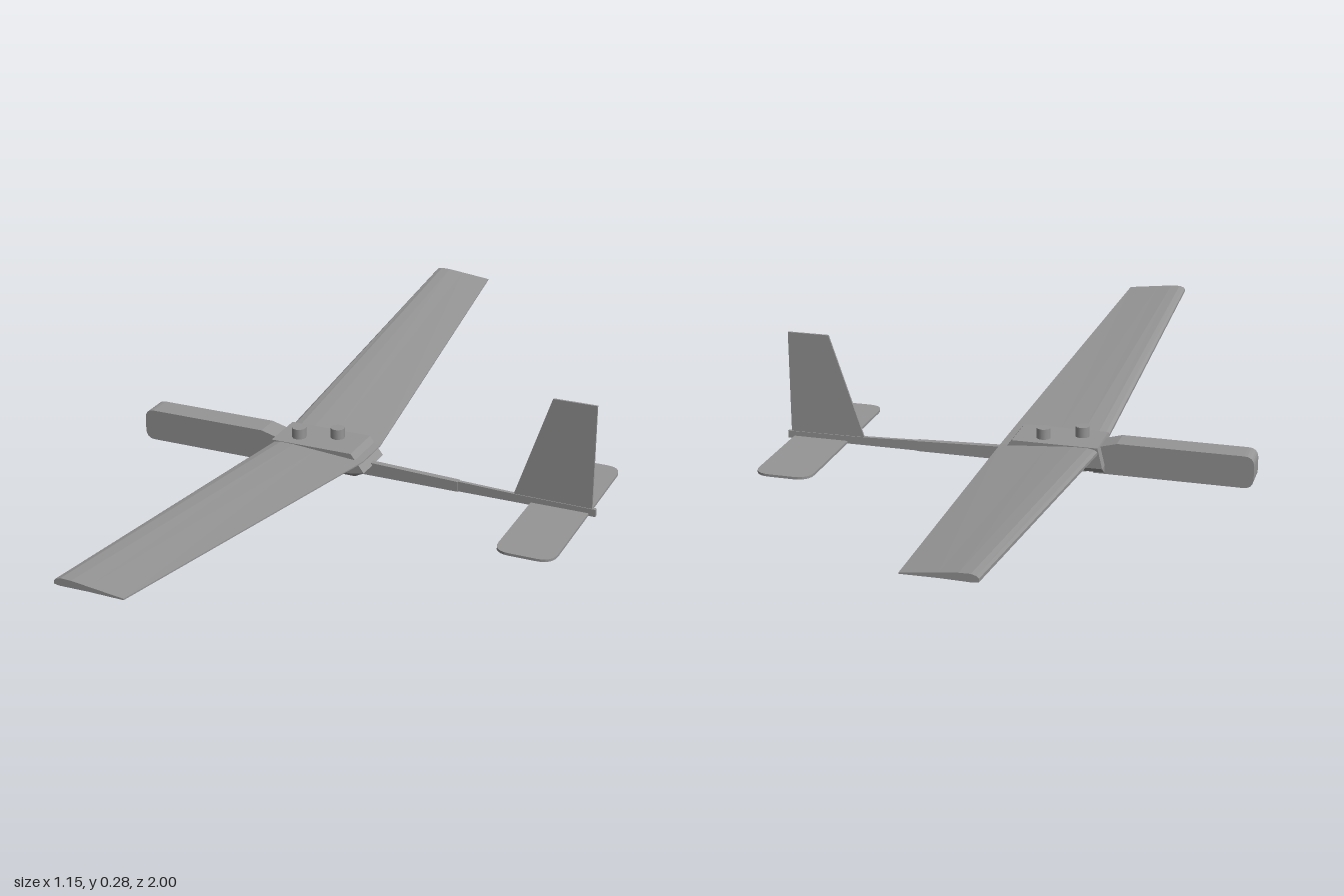
import * as THREE from 'three';
import { ConvexGeometry } from 'three/addons/geometries/ConvexGeometry.js';

const grey = new THREE.MeshStandardMaterial({ color: 0x959595 });
grey.name = 'grey';

// Extrude an x/y shape symmetrically about z = 0
function slab(shape, depth) {
  const g = new THREE.ExtrudeGeometry(shape, { depth, bevelEnabled: false, curveSegments: 6 });
  return g.translate(0, 0, -depth / 2);
}

const outline = (pts) => new THREE.Shape(pts.map(([x, y]) => new THREE.Vector2(x, y)));

// Skin a list of equal sections, each running clockwise seen from +z, and cap the ends
function loft(sections) {
  const n = sections[0].length, last = sections.length - 1, pos = [];
  const tri = (...p) => p.forEach((v) => pos.push(...v));
  for (let s = 0; s < last; s++) {
    for (let j = 0; j < n; j++) {
      const k = (j + 1) % n, a = sections[s], b = sections[s + 1];
      tri(a[j], b[j], b[k]);
      tri(a[j], b[k], a[k]);
    }
  }
  for (let j = 1; j < n - 1; j++) {
    tri(sections[0][0], sections[0][j], sections[0][j + 1]);
    tri(sections[last][0], sections[last][j + 1], sections[last][j]);
  }
  const g = new THREE.BufferGeometry();
  g.setAttribute('position', new THREE.Float32BufferAttribute(pos, 3));
  g.computeVertexNormals();
  return g;
}

// Airfoil section: straight leading edge, tapering trailing edge, dihedral
const airfoil = [[0, 0.002], [0, 0.009], [0.03, 0.014], [0.1, 0.017], [0.25, 0.0165],
  [0.5, 0.012], [1, 0.003], [1, 0], [0.5, 0.001], [0.08, 0]];
function wingSection(z) {
  const t = Math.max(0, (Math.abs(z) - 0.05) / 0.95);
  const chord = 0.235 - 0.08 * t, lift = 0.065 + 0.101 * t;
  return airfoil.map(([f, h]) => [-0.215 + f * chord, lift + h, z]);
}

export function createModel() {
  const model = new THREE.Group();
  model.name = 'glider';
  const add = (name, geometry) => {
    const mesh = new THREE.Mesh(geometry, grey);
    mesh.name = name;
    model.add(mesh);
    return mesh;
  };

  // Nose block with rounded front corners, stepping down under the wing mount
  const nose = new THREE.Shape();
  nose.moveTo(-0.55, 0.013);
  nose.lineTo(-0.2, 0.013);
  nose.lineTo(-0.2, 0.075);
  nose.lineTo(-0.255, 0.09);
  nose.lineTo(-0.55, 0.09);
  nose.quadraticCurveTo(-0.574, 0.09, -0.574, 0.066);
  nose.lineTo(-0.574, 0.037);
  nose.quadraticCurveTo(-0.574, 0.013, -0.55, 0.013);
  add('nose', slab(nose, 0.062));

  // Wing mount: bevelled underside and sloping rear
  const corners = [];
  for (const side of [-1, 1]) {
    for (const [x, y, z] of [[-0.227, 0.016, 0.032], [-0.227, 0.034, 0.057], [-0.215, 0.084, 0.057],
      [-0.01, 0.016, 0.032], [-0.008, 0.034, 0.057], [-0.01, 0.084, 0.057], [0.024, 0.04, 0.057]]) {
      corners.push(new THREE.Vector3(x, y, z * side));
    }
  }
  add('wingMount', new ConvexGeometry(corners));

  add('wing', loft([-1, -0.05, 0.05, 1].map(wingSection)));

  // Bolts through the mount
  for (const [x, z] of [[-0.162, 0.016], [-0.077, -0.019]]) {
    add('bolt', new THREE.CylinderGeometry(0.017, 0.017, 0.109, 12)).position.set(x, 0.0545, z);
  }

  // Tail boom, wider at the front
  add('boomFront', slab(outline([[-0.02, 0.013], [0.24, 0.013], [0.24, 0.038], [-0.02, 0.047]]), 0.015));
  add('tailBoom', slab(outline([[0.2, 0.013], [0.572, 0.013], [0.572, 0.031], [0.38, 0.033], [0.2, 0.039]]), 0.009));

  // Upright fin
  add('fin', slab(outline([[0.375, 0.03], [0.563, 0.03], [0.563, 0.283], [0.46, 0.283]]), 0.005));

  // Tailplane with rounded corners
  const [x0, x1, half, r] = [0.418, 0.556, 0.26, 0.04];
  const plan = new THREE.Shape();
  plan.moveTo(x0 + r, -half);
  plan.lineTo(x1 - r, -half);
  plan.quadraticCurveTo(x1, -half, x1, -half + r);
  plan.lineTo(x1, half - r);
  plan.quadraticCurveTo(x1, half, x1 - r, half);
  plan.lineTo(x0 + r, half);
  plan.quadraticCurveTo(x0, half, x0, half - r);
  plan.lineTo(x0, -half + r);
  plan.quadraticCurveTo(x0, -half, x0 + r, -half);
  add('tailplane', slab(plan, 0.006).rotateX(-Math.PI / 2)).position.y = 0.0165;

  return model;
}
